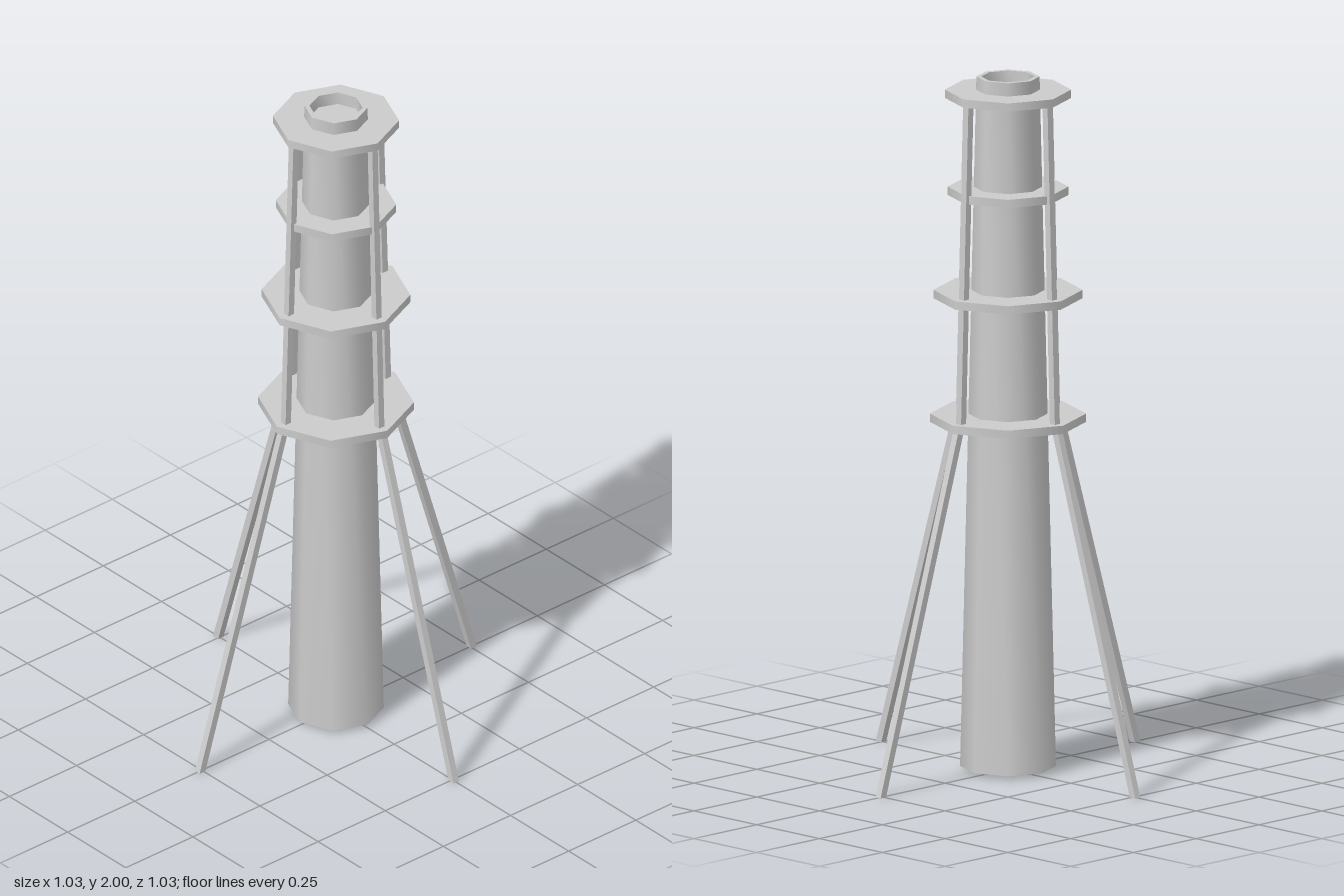
import * as THREE from 'three';
import { toCreasedNormals } from 'three/addons/utils/BufferGeometryUtils.js';

const material = new THREE.MeshStandardMaterial({ color: 0xcccccc });
const openMaterial = new THREE.MeshStandardMaterial({ color: 0xcccccc, side: THREE.DoubleSide });

// Square bar leaning in x between two heights, its ends cut level
function leaningBar(x0, y0, x1, y1, width) {
  const geometry = new THREE.BoxGeometry(width, y1 - y0, 0.02);
  const p = geometry.attributes.position;
  for (let i = 0; i < p.count; i++) {
    const low = p.getY(i) < 0;
    p.setXYZ(i, p.getX(i) + (low ? x0 : x1), low ? y0 : y1, p.getZ(i));
  }
  geometry.computeVertexNormals();
  return geometry;
}

export function createModel() {
  const model = new THREE.Group();
  const add = (name, geometry, mat = material) => {
    const mesh = new THREE.Mesh(geometry, mat);
    mesh.name = name;
    model.add(mesh);
    return mesh;
  };

  // Tapered octagonal stack, open below, with a rim and inner lip on top
  const profile = [[0.135, 0.01], [0.089, 2], [0.075, 2], [0.075, 1.95]]
    .map(([r, y]) => new THREE.Vector2(r, y));
  add('stack', toCreasedNormals(new THREE.LatheGeometry(profile, 8), 0.95), openMaterial);

  // Octagonal platforms: radius and mid height
  [[0.22, 1.015], [0.21, 1.372], [0.17, 1.67], [0.178, 1.95]].forEach(([r, y], i) => {
    const platform = add('platform' + (i + 1), new THREE.CylinderGeometry(r, r, 0.024, 8));
    platform.position.y = y;
  });

  // Four splayed legs with four upright posts above them
  const leg = leaningBar(0.506, 0, 0.194, 1.015, 0.022);
  const post = leaningBar(0.187, 1.015, 0.157, 1.95, 0.02);
  for (let i = 0; i < 4; i++) {
    add('leg' + (i + 1), leg).rotation.y = i * Math.PI / 2;
    add('post' + (i + 1), post).rotation.y = i * Math.PI / 2;
  }
  return model;
}
